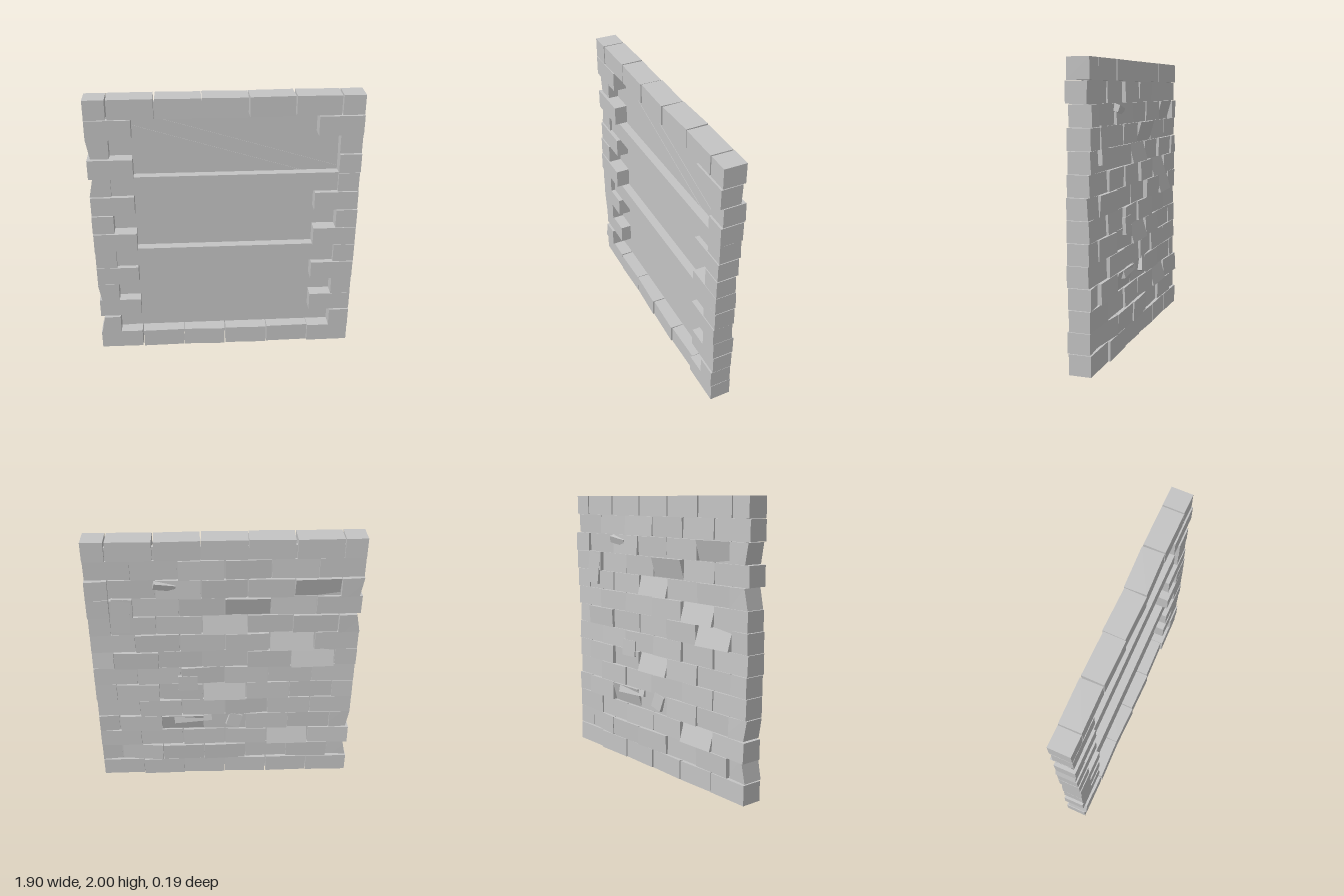
import * as THREE from 'three';

const stone = new THREE.MeshStandardMaterial({ color: 0xc4c4c4 });
stone.name = 'grey stone';

const ROWS = 14, H = 2 / ROWS, HALF = 0.95, BRICK = HALF / 3;
const DEEP = -0.018, PANEL = -0.012, BEAM = 0.048;

export function createModel() {
  const wall = new THREE.Group();
  wall.name = 'brickWall';
  let seed = 11;
  const rand = (a) => {
    seed = (seed * 16807) % 2147483647;
    return (seed / 2147483647 * 2 - 1) * a;
  };

  const add = (name, geometry) => {
    const mesh = new THREE.Mesh(geometry, stone);
    mesh.name = name;
    wall.add(mesh);
    return mesh;
  };

  // Block given by its limits; tiltX / tiltY push the back face out toward +x / +y,
  // lean slants the -x end inward from the limit
  const block = (name, x0, x1, y0, y1, z0, z1, tiltX = 0, tiltY = 0, lean = 0, yaw = 0) => {
    const g = new THREE.BoxGeometry(x1 - x0, y1 - y0, z1 - z0);
    const p = g.attributes.position;
    for (let i = 0; i < p.count; i++) {
      const sx = Math.sign(p.getX(i)), sy = Math.sign(p.getY(i));
      if (p.getZ(i) < 0) p.setZ(i, p.getZ(i) - tiltX * sx - tiltY * sy);
      if (sx < 0) p.setX(i, p.getX(i) + lean * sy + Math.abs(lean));
    }
    g.computeVertexNormals();
    const mesh = add(name, g);
    mesh.position.set((x0 + x1) / 2, (y0 + y1) / 2, (z0 + z1) / 2);
    mesh.rotation.y = yaw;
  };

  // Recessed backing and the flat panel between the two ledges
  block('backing', -0.9, 0.9, 0.05, 1.95, -0.05, DEEP);
  block('middlePanel', -0.82, 0.82, 6 * H, 9 * H, DEEP, PANEL);
  for (const row of [5, 9]) block('ledge', -0.8, 0.8, row * H, (row + 1) * H - 0.003, DEEP, BEAM);

  // Thin plates with a diagonal edge, stepped in two layers
  const plate = (outline, depth) => {
    const shape = new THREE.Shape(outline.map(([x, y]) => new THREE.Vector2(x, y)));
    const g = new THREE.ExtrudeGeometry(shape, { depth, bevelEnabled: false });
    g.translate(0, 0, DEEP);
    add('diagonalPlate', g);
  };
  const step = PANEL - DEEP;
  plate([[-0.8, 1.42], [0.56, 1.42], [-0.64, 1.79], [-0.8, 1.84]], step);
  plate([[0.56, 1.42], [0.8, 1.42], [0.8, 1.45], [-0.54, 1.86], [-0.64, 1.86], [-0.64, 1.79]], step / 2);
  plate([[-0.8, 0.22], [0.64, 0.715], [-0.8, 0.715]], step);
  plate([[-0.8, 0.22], [-0.8, 0.14], [-0.73, 0.14], [0.64, 0.62], [0.64, 0.715]], step / 2);

  // Knocked bricks on the back: row, x, sideways tilt, vertical tilt
  const knocked = [
    [10, -0.17, 0, 0.02], [11, -0.64, 0.006, 0.02], [9, 0, 0, -0.018],
    [8, -0.47, 0, -0.02], [7, -0.63, 0.006, -0.02], [5, 0, 0, -0.02],
    [3, 0.3, 0, 0.02], [2, -0.47, 0, -0.02], [1, 0.63, -0.018, 0],
    [6, 0.16, 0.014, 0], [4, -0.16, 0.016, 0],
  ];
  // Slanted ends on the model's -x edge, by row
  const leans = { 1: 0.014, 3: -0.012, 9: 0.014, 11: -0.012 };

  // Running-bond courses; border bricks go right through, inner ones only face the back
  for (let row = 0; row < ROWS; row++) {
    const odd = row % 2 === 1;
    const cuts = [-HALF];
    for (let x = -HALF + (odd ? BRICK / 2 : BRICK); x < HALF - 0.01; x += BRICK) cuts.push(x);
    cuts.push(HALF);
    const y0 = row * H + 0.002, y1 = (row + 1) * H - 0.002;
    const edge = row === 0 || row === ROWS - 1;
    const last = cuts.length - 2;
    for (let i = 0; i <= last; i++) {
      const x0 = cuts[i] + 0.004 + rand(0.003), x1 = cuts[i + 1] - 0.004 + rand(0.003);
      const mid = (x0 + x1) / 2;
      const hit = knocked.find((k) => k[0] === row && Math.abs(k[1] - mid) < BRICK / 2);
      const shift = rand(0.013);
      const tiltX = hit ? hit[2] : rand(0.007), tiltY = hit ? hit[3] : rand(0.004);
      const back = hit ? -0.07 : -0.071 + shift;
      if (edge) {
        block('borderBrick', x0, x1, y0, y1, -0.076 + shift / 2, 0.076 + shift / 2, 0, 0, 0, rand(0.04));
      } else if (i === 0 || (i === last && row !== 10)) {
        const lean = i === 0 ? leans[row] || 0 : 0;
        block('cornerBrick', x0, x1, y0, y1, back, 0.076 + shift, tiltX, tiltY, lean);
      } else if (i === last) {
        block('cornerBrick', 0.796, x1, y0, y1, back, 0.076);
        block('backBrick', x0, 0.79, y0, y1, back, DEEP - 0.004, tiltX, tiltY);
      } else {
        block('backBrick', x0, x1, y0, y1, back, DEEP - 0.004, tiltX, tiltY);
      }
    }
  }

  // Loose chunks sticking out of the back: x, y, width, height, twist, pitch
  const chunks = [
    [0.72, 1.45, 0.13, 0.25, 0.08, 0.05], [0.41, 1.67, 0.15, 0.05, 0.2, -0.3],
    [0.27, 0.87, 0.14, 0.12, 0, 0.05], [-0.07, 0.52, 0.1, 0.11, 0.3, 0.08],
    [0.24, 0.54, 0.28, 0.05, -0.05, 0.25],
  ];
  for (const [x, y, w, h, twist, pitch] of chunks) {
    const chunk = add('looseChunk', new THREE.BoxGeometry(w, h, 0.035));
    chunk.position.set(x, y, -0.07);
    chunk.rotation.set(pitch, 0.06, twist);
  }
  return wall;
}
